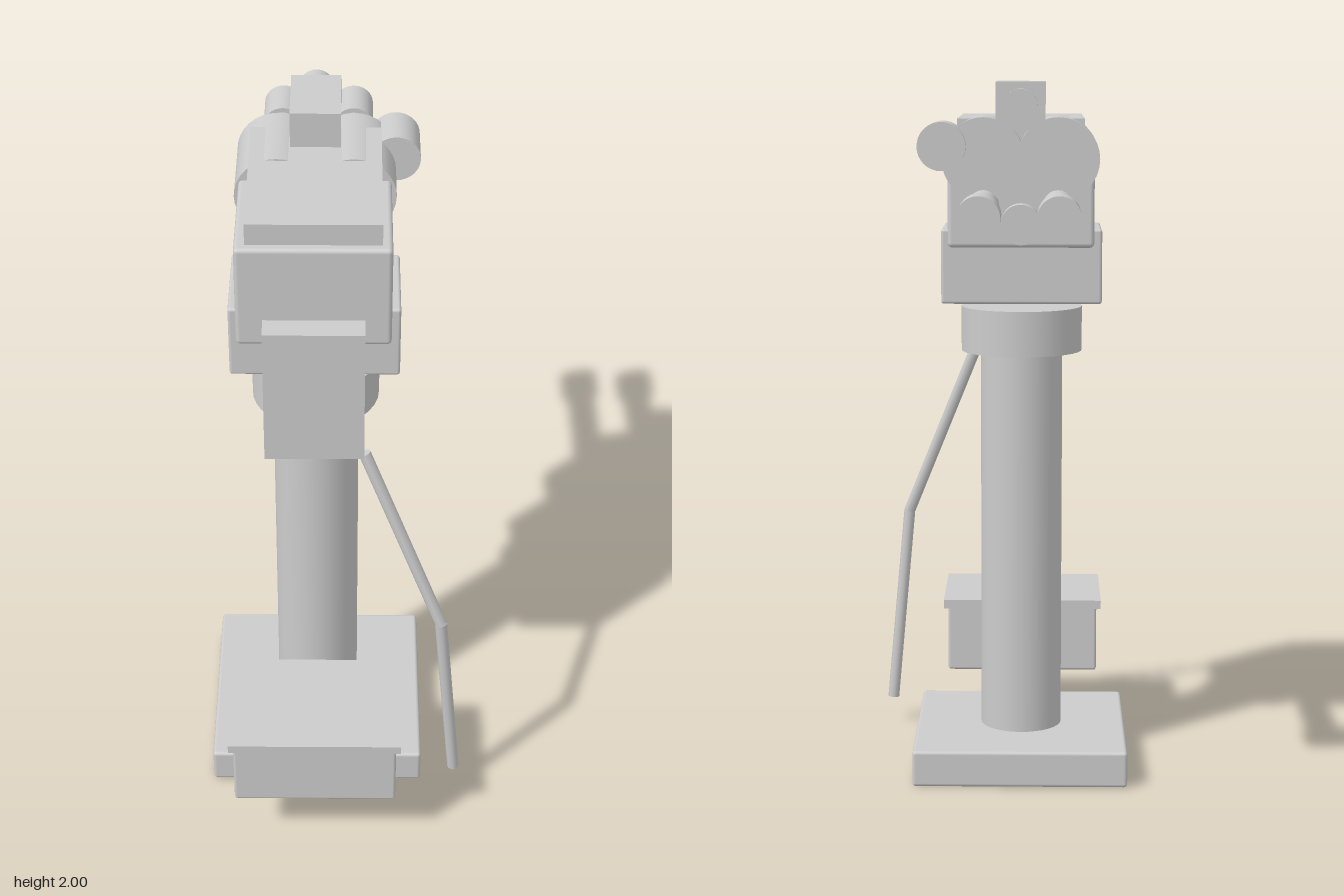
import * as THREE from 'three';
import { RoundedBoxGeometry } from 'three/addons/geometries/RoundedBoxGeometry.js';

const material = new THREE.MeshStandardMaterial({ color: 0xcccccc });
const AXIS_X = -0.058; // shared centre line of pedestal and head
const AXIS_Z = 0.122;

export function createModel() {
  const model = new THREE.Group();
  model.name = 'pedestalTurret';

  const add = (name, geometry, x, y, z) => {
    const mesh = new THREE.Mesh(geometry, material);
    mesh.name = name;
    mesh.position.set(x, y, z);
    model.add(mesh);
    return mesh;
  };

  // Box from its limits, with an optional softened edge
  const box = (name, [x0, x1], [y0, y1], [z0, z1], edge = 0) => {
    const size = [x1 - x0, y1 - y0, z1 - z0];
    const geometry = edge
      ? new RoundedBoxGeometry(...size, 2, edge)
      : new THREE.BoxGeometry(...size);
    return add(name, geometry, (x0 + x1) / 2, (y0 + y1) / 2, (z0 + z1) / 2);
  };

  // Upright cylinder on the pedestal axis
  const post = (name, radius, y0, y1) =>
    add(name, new THREE.CylinderGeometry(radius, radius, y1 - y0, 32), AXIS_X, (y0 + y1) / 2, AXIS_Z);

  // Cylinder lying along z
  const rod = (name, radius, x, y, z0, z1) => {
    const geometry = new THREE.CylinderGeometry(radius, radius, z1 - z0, 32).rotateX(Math.PI / 2);
    return add(name, geometry, x, y, (z0 + z1) / 2);
  };

  // Pedestal
  box('basePlate', [-0.365, 0.25], [0.003, 0.108], [-0.186, 0.428], 0.01);
  post('column', 0.118, 0.1, 1.24);
  post('collar', 0.174, 1.226, 1.355);

  // Head
  box('neckBlock', [-0.286, 0.169], [1.373, 1.585], [-0.013, 0.254], 0.008);
  box('headHousing', [-0.26, 0.143], [1.546, 1.838], [-0.173, 0.36], 0.012);
  box('headCover', [-0.232, 0.117], [1.83, 1.898], [-0.148, 0.336]);
  box('controlCabinet', [-0.19, 0.074], [1.226, 1.625], [0.24, 0.428]);

  // Twin drums, each with a barrel and muzzle below it
  for (const side of [-1, 1]) {
    const x = AXIS_X + side * 0.102;
    const label = side < 0 ? 'right' : 'left';
    rod(`${label}Drum`, 0.113, x, 1.79, -0.217, 0.026);
    rod(`${label}Barrel`, 0.042, x, 1.665, -0.6, -0.12);
    rod(`${label}Muzzle`, 0.056, x, 1.665, -0.7, -0.566);
  }
  rod('lowerLens', 0.055, AXIS_X, 1.614, -0.24, -0.12);
  rod('searchlight', 0.066, 0.157, 1.825, -0.243, -0.108);

  // Sight on top
  box('sightBody', [-0.125, 0.009], [1.868, 1.998], [-0.253, -0.044]);
  rod('sightLens', 0.046, AXIS_X, 1.934, -0.317, -0.24);

  // Equipment box behind the column
  box('equipmentBox', [-0.287, 0.169], [0.193, 0.4], [0.365, 0.685], 0.008);
  box('equipmentBoxLid', [-0.3, 0.182], [0.392, 0.418], [0.349, 0.697]);

  // Bent cable hanging from the cabinet
  const bends = [
    new THREE.Vector3(0.076, 1.213, 0.388),
    new THREE.Vector3(0.292, 0.675, 0.47),
    new THREE.Vector3(0.345, 0.085, 0.446),
  ];
  const up = new THREE.Vector3(0, 1, 0);
  for (let i = 0; i < 2; i++) {
    const along = bends[i].clone().sub(bends[i + 1]);
    const middle = bends[i].clone().add(bends[i + 1]).multiplyScalar(0.5);
    const geometry = new THREE.CylinderGeometry(0.017, 0.017, along.length() + 0.004, 8);
    const cable = add('cable', geometry, middle.x, middle.y, middle.z);
    cable.quaternion.setFromUnitVectors(up, along.normalize());
  }

  return model;
}
